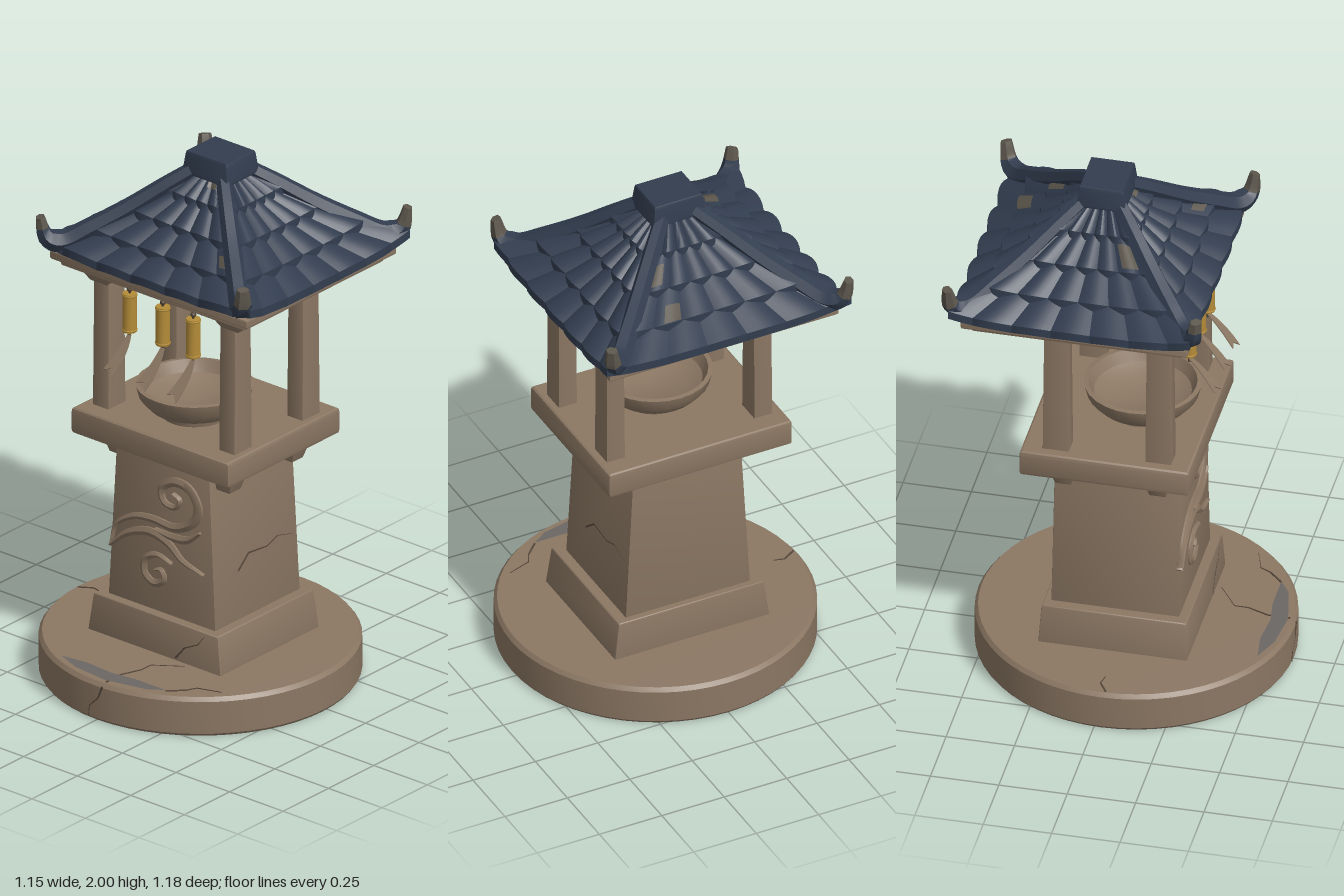
import * as THREE from 'three';
import { toCreasedNormals } from 'three/addons/utils/BufferGeometryUtils.js';
import { RoundedBoxGeometry } from 'three/addons/geometries/RoundedBoxGeometry.js';

const mat = (name, color, side = THREE.FrontSide) => {
  const m = new THREE.MeshStandardMaterial({ color, side });
  m.name = name;
  return m;
};
const V = (x, y, z) => new THREE.Vector3(x, y, z);

export function createModel() {
  const root = new THREE.Group();
  root.name = 'stoneShrine';
  const stone = mat('stone', 0x8b7763, THREE.DoubleSide);
  const slate = mat('slateTile', 0x323d4f, THREE.DoubleSide);
  const gold = mat('brass', 0xb48c38);
  const worn = mat('wornTile', 0x5c564c, THREE.DoubleSide);
  const grey = mat('greyStain', 0x6a6764);
  const dark = mat('crackAndCord', 0x55473a);

  const add = (name, geo, material, x = 0, y = 0, z = 0) => {
    const m = new THREE.Mesh(geo, material);
    m.name = name;
    m.position.set(x, y, z);
    root.add(m);
    return m;
  };

  // Softly bevelled block from y0 to y1; top is [width, depth] if tapered
  const block = (name, material, x, z, y0, y1, bottom, top = bottom, r = 0.008) => {
    const h = y1 - y0;
    const g = new RoundedBoxGeometry(1, h, 1, 1, r);
    const p = g.attributes.position;
    for (let i = 0; i < p.count; i++) {
      const t = p.getY(i) / h + 0.5;
      p.setX(i, p.getX(i) * THREE.MathUtils.lerp(bottom[0], top[0], t));
      p.setZ(i, p.getZ(i) * THREE.MathUtils.lerp(bottom[1], top[1], t));
    }
    return add(name, toCreasedNormals(g, 0.5), material, x, (y0 + y1) / 2, z);
  };

  // Closed sweep along a curve; ref is the fixed cross-section axis
  const sweep = (points, ref, size, { n = 24, sides = 6, t0 = 0, t1 = 1, smooth = true } = {}) => {
    const curve = new THREE.CatmullRomCurve3(points, false, 'catmullrom', smooth ? 0.5 : 0);
    const pos = [], idx = [];
    for (let i = -1; i <= n + 1; i++) {
      const t = t0 + (t1 - t0) * Math.min(Math.max(i / n, 0), 1);
      const c = curve.getPoint(t);
      const a = curve.getTangent(t).cross(ref).normalize();
      const [ra, rb] = i < 0 || i > n ? [0, 0] : size(t);
      for (let j = 0; j < sides; j++) {
        const th = (j + 0.5) / sides * Math.PI * 2;
        const q = c.clone().addScaledVector(a, Math.cos(th) * ra).addScaledVector(ref, Math.sin(th) * rb);
        pos.push(q.x, q.y, q.z);
        if (i > n) continue;
        const k = (i + 1) * sides, j2 = (j + 1) % sides;
        idx.push(k + j, k + sides + j, k + j2, k + j2, k + sides + j, k + sides + j2);
      }
    }
    const g = new THREE.BufferGeometry();
    g.setAttribute('position', new THREE.Float32BufferAttribute(pos, 3));
    g.setIndex(idx);
    return toCreasedNormals(g, 0.8);
  };
  const lathe = (pts, n) => toCreasedNormals(
    new THREE.LatheGeometry(pts.map(p => new THREE.Vector2(...p)), n), 0.6);

  // Round base, plinth and tapering pillar
  add('base', lathe([[0, 0], [0.57, 0], [0.577, 0.01], [0.577, 0.135], [0.565, 0.15], [0, 0.152]], 56), stone, 0, 0, 0.025);
  block('plinth', stone, 0, 0.008, 0.145, 0.295, [0.62, 0.545], [0.58, 0.53]);
  block('pillar', stone, 0, 0.004, 0.28, 0.92, [0.5, 0.468], [0.43, 0.456]);
  block('ledge', stone, -0.006, -0.01, 0.91, 1.01, [0.735, 0.62], [0.735, 0.62], 0.014);

  // Brackets, posts and flared capitals at four corners
  for (const sx of [-1, 1]) for (const z of [0.18, -0.195]) {
    block('bracket', stone, sx * 0.245, z * 0.92, 0.83, 0.92, [0.07, 0.06], [0.13, 0.1]);
    block('post', stone, sx * 0.295, z, 1, 1.53, [0.072, 0.095], [0.068, 0.085]);
    block('capital', stone, sx * 0.305, z, 1.495, 1.56, [0.08, 0.09], [0.16, 0.16]);
  }

  // Offering bowl with a hollow inside
  add('bowl', lathe([[0, 0], [0.12, 0], [0.125, 0.02], [0.165, 0.035], [0.2, 0.075], [0.212, 0.12],
    [0.195, 0.122], [0.175, 0.08], [0.12, 0.052], [0, 0.045]], 28), stone, -0.006, 1.01, 0.05);

  // Carved wind scrolls on the pillar front
  const scrolls = [
    [0.017, [-0.235, 0.5], [-0.21, 0.58], [-0.13, 0.635], [-0.04, 0.65], [0.06, 0.645], [0.14, 0.685], [0.17, 0.75],
      [0.13, 0.815], [0.06, 0.825], [0, 0.785], [0.01, 0.735], [0.06, 0.725], [0.085, 0.76], [0.055, 0.78]],
    [0.016, [-0.24, 0.49], [-0.16, 0.56], [-0.06, 0.595], [0.03, 0.575], [0.1, 0.525], [0.2, 0.5]],
    [0.014, [-0.03, 0.615], [0.05, 0.605], [0.12, 0.615], [0.18, 0.66]],
    [0.014, [0.05, 0.5], [-0.02, 0.515], [-0.075, 0.485], [-0.08, 0.43], [-0.035, 0.4], [0.01, 0.425], [0, 0.46], [-0.03, 0.455]],
  ];
  for (const [r, ...pts] of scrolls) {
    const size = t => [0.004 + r * Math.sin(Math.PI * Math.min(1, t * 0.92 + 0.06)), 0.015];
    add('windScroll', sweep(pts.map(p => V(p[0], p[1], 0.234)), V(0, 0, 1), size, { n: pts.length * 6 }), stone);
  }

  // Eave boards
  block('eaveBoard', stone, 0, -0.095, 1.55, 1.58, [0.86, 0.77]);
  block('eaveFrame', stone, 0, -0.1, 1.575, 1.61, [0.92, 0.83]);

  // Roof: rings of [half width, height], each row of bulging tiles overlapping the next
  const rings = [[0.07, 1.92], [0.16, 1.835], [0.26, 1.755], [0.37, 1.68], [0.475, 1.615]];
  const columns = 6;
  const roofGrid = (k, row, u0, u1, v0, v1, lift, lip) => {
    const nu = Math.max(4, Math.round(36 * (u1 - u0))), nv = 4, rows = nv + (lip ? 1 : 0);
    const pos = [], idx = [];
    for (let j = 0; j <= rows; j++) for (let i = 0; i <= nu; i++) {
      const u = u0 + (u1 - u0) * i / nu, v = v0 + (v1 - v0) * Math.min(j / nv, 1);
      const s = u * 2 - 1, f = (u * columns + row * 0.5 * (row % 2)) % 1;
      const bulge = 1 - (2 * f - 1) ** 2;
      const w = THREE.MathUtils.lerp(rings[row][0], rings[row + 1][0], v) + 0.015 * v * bulge;
      let y = THREE.MathUtils.lerp(rings[row][1], rings[row + 1][1], v) + bulge * 0.012 + v * 0.014
        + 0.025 * s ** 4 * (w / 0.48) ** 2 + lift;
      if (j > nv) y -= 0.032;
      let x = s * w, z = w;
      for (let q = 0; q < k; q++) [x, z] = [z, -x];
      pos.push(x, y, z * 0.9 - 0.085 - 0.025 * w / 0.48);
      if (j < rows && i < nu) {
        const a = j * (nu + 1) + i, c = a + nu + 1;
        idx.push(a, c, a + 1, a + 1, c, c + 1);
      }
    }
    const g = new THREE.BufferGeometry();
    g.setAttribute('position', new THREE.Float32BufferAttribute(pos, 3));
    g.setIndex(idx);
    return toCreasedNormals(g, 0.45);
  };
  for (let k = 0; k < 4; k++) for (let row = 0; row < 4; row++)
    add('tileRow', roofGrid(k, row, 0, 1, 0, 1, 0, true), slate);
  // Worn patches: side, row, u range, v range
  for (const p of [[2, 2, 0.23, 0.32, 0.5, 1], [2, 1, 0.08, 0.2, 0.3, 0.9], [0, 0, 0.6, 0.85, 0.1, 0.5],
    [3, 1, 0.78, 0.92, 0.2, 0.9], [0, 2, 0.85, 0.93, 0.4, 0.8]])
    add('wornPatch', roofGrid(...p, 0.004, false), worn);

  // Corner ridges with upturned tips
  const profile = [[0.06, 1.935], [0.14, 1.868], [0.24, 1.78], [0.34, 1.703], [0.41, 1.655], [0.458, 1.672], [0.474, 1.75]];
  const ridgeSize = t => t < 0.75 ? [0.03 + 0.016 * t, 0.028 + 0.018 * t]
    : [0.042 - 0.1 * (t - 0.75), 0.0415 - 0.075 * (t - 0.75)];
  for (const sx of [-1, 1]) for (const sz of [-1, 1]) {
    const path = profile.map(([d, y]) => V(sx * d, y, -0.085 - 0.042 * d + sz * 0.96 * d));
    const ref = V(-sz * 0.96, 0, sx).normalize();
    const tip = sz < 0 || sx > 0 ? 0.87 : 0.92;
    add('ridge', sweep(path, ref, ridgeSize, { t1: tip }), slate);
    add('ridgeTip', sweep(path, ref, ridgeSize, { t0: tip, n: 8 }), worn);
  }
  block('roofCap', slate, 0.003, -0.083, 1.915, 2, [0.21, 0.18], [0.19, 0.16], 0.015);

  // Hanging chimes with cords and forked ribbons
  const ribbon = new THREE.Shape();
  ribbon.moveTo(-0.008, 0);
  ribbon.quadraticCurveTo(-0.01, -0.07, -0.038, -0.15);
  ribbon.lineTo(-0.01, -0.14);
  ribbon.lineTo(0.012, -0.17);
  ribbon.quadraticCurveTo(0.035, -0.08, 0.008, 0);
  const ribbonGeo = new THREE.ExtrudeGeometry(ribbon, { depth: 0.004, bevelEnabled: false });
  for (const [x, y] of [[-0.14, 1.44], [0.015, 1.435], [0.157, 1.43]]) {
    add('chime', toCreasedNormals(new THREE.CylinderGeometry(0.026, 0.026, 0.15, 14), 0.6), gold, x, y, 0.25);
    for (const s of [-1, 1])
      add('chimeRim', new THREE.TorusGeometry(0.025, 0.004, 6, 14).rotateX(Math.PI / 2), gold, x, y + s * 0.068, 0.25);
    add('cord', new THREE.CylinderGeometry(0.005, 0.005, 0.27, 6), dark, x, y + 0.03, 0.25);
    add('cordBead', new THREE.SphereGeometry(0.011, 8, 6), dark, x, y + 0.09, 0.25);
    add('ribbon', ribbonGeo, stone, x, y - 0.09, 0.25).rotation.x = -0.72;
  }

  // Stain on the base top
  const stain = new THREE.Shape([[-0.23, -0.52], [-0.13, -0.56], [0.02, -0.575], [0.18, -0.54], [0.24, -0.5],
    [0.1, -0.5], [0, -0.515], [-0.12, -0.505]].map(p => new THREE.Vector2(...p)));
  add('stain', new THREE.ShapeGeometry(stain).rotateX(-Math.PI / 2), grey, 0, 0.155, 0);

  // Hairline cracks: surface normal, then points
  const cracks = [
    [V(0, 1, 0), [0.03, 0.151, 0.58], [0.03, 0.151, 0.5], [0.06, 0.151, 0.42], [0.06, 0.151, 0.37], [0.16, 0.151, 0.3]],
    [V(0, 0, 1), [0.03, 0.14, 0.602], [0.01, 0.09, 0.602], [-0.03, 0.05, 0.601], [-0.035, 0.01, 0.601]],
    [V(0, 1, 0), [0.24, 0.151, 0.5], [0.29, 0.151, 0.45], [0.31, 0.151, 0.41], [0.4, 0.151, 0.38]],
    [V(0, 1, 0), [-0.56, 0.151, 0.04], [-0.51, 0.151, 0.01], [-0.47, 0.151, 0.02]],
    [V(0, 0, 1), [0.1, 0.16, 0.28], [0.14, 0.21, 0.278], [0.2, 0.24, 0.276], [0.23, 0.28, 0.274]],
    [V(1, 0, 0), [0.239, 0.48, 0.1], [0.237, 0.53, 0.04], [0.237, 0.52, -0.06], [0.236, 0.54, -0.12], [0.237, 0.52, -0.2]],
  ];
  for (const [n, ...pts] of cracks)
    add('crack', sweep(pts.map(p => V(...p)), n, t => [0.0045 * (1.1 - t), 0.003], { sides: 4, smooth: false }), dark);

  return root;
}
